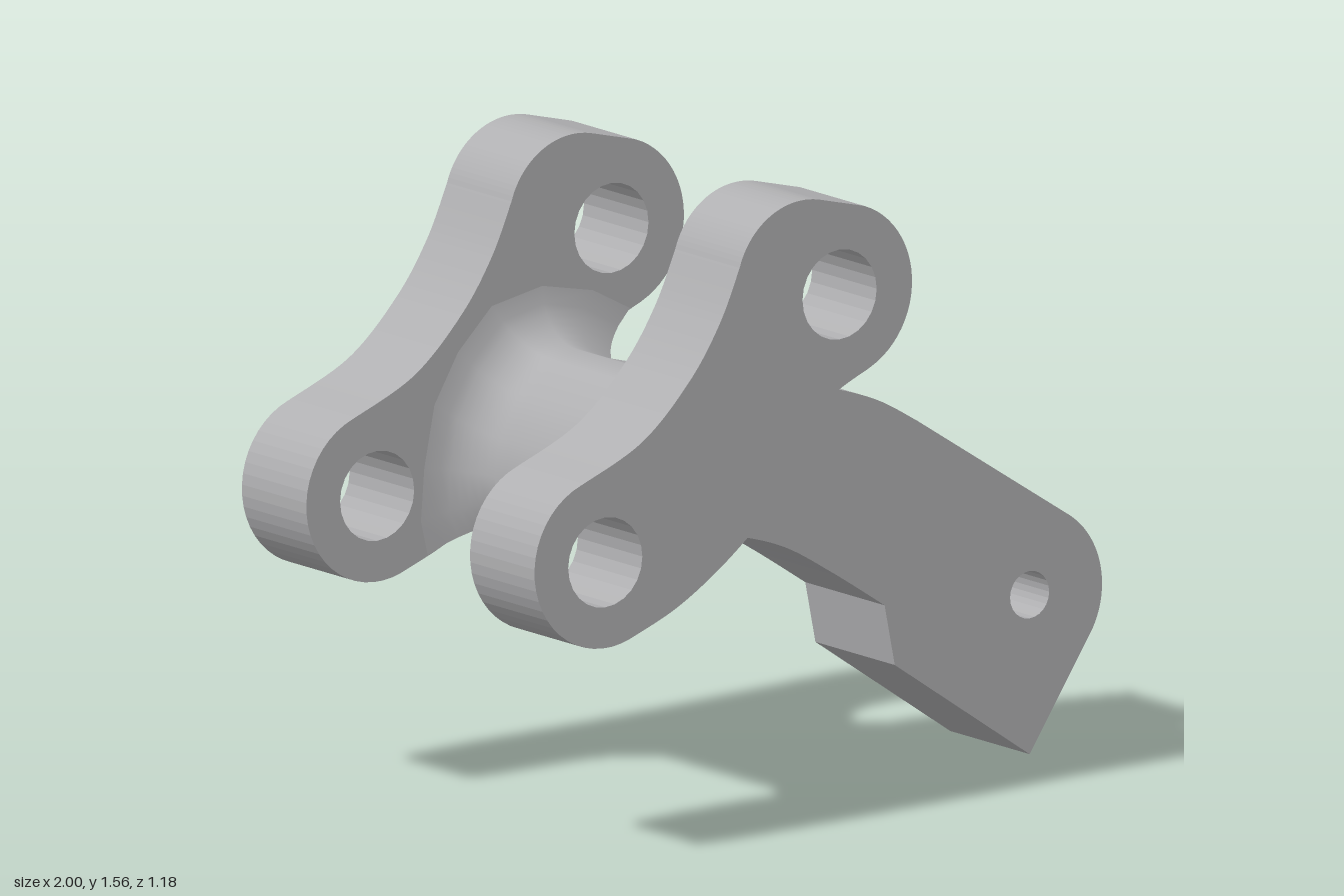
import * as THREE from 'three';
import { toCreasedNormals } from 'three/addons/utils/BufferGeometryUtils.js';

const rad = THREE.MathUtils.degToRad;
const pts = (list) => list.map(([x, y]) => new THREE.Vector2(x, y));

function addHole(shape, x, y, r) {
  const hole = new THREE.Path();
  hole.absarc(x, y, r, 0, Math.PI * 2, true);
  shape.holes.push(hole);
}

function extrude(shape, z0, z1) {
  const g = new THREE.ExtrudeGeometry(shape, { depth: z1 - z0, bevelEnabled: false, curveSegments: 12 });
  g.translate(0, 0, z0);
  return g;
}

// Curved link plate with a bored eye at each end
function plateShape() {
  const s = new THREE.Shape();
  s.absarc(-0.79, 0.75, 0.21, rad(110), rad(290), false);
  s.splineThru(pts([[-0.59, 0.605], [-0.48, 0.67], [-0.38, 0.745], [-0.3, 0.82], [-0.22, 0.915],
    [-0.16, 1.0], [-0.115, 1.07], [-0.004, 1.125]]));
  s.absarc(-0.095, 1.32, 0.215, rad(-65), rad(70), false);
  s.absarc(-0.2, 1.36, 0.2, rad(75), rad(163), false);
  s.splineThru(pts([[-0.45, 1.29], [-0.54, 1.16], [-0.68, 1.03], [-0.862, 0.947]]));
  addHole(s, -0.79, 0.75, 0.11);
  addHole(s, -0.095, 1.315, 0.11);
  return s;
}

// Bent central arm with a pointed heel and a small pin hole
function armShape() {
  const s = new THREE.Shape();
  s.moveTo(-0.42, 0.66);
  s.splineThru(pts([[-0.2, 0.662], [-0.08, 0.645], [0.06, 0.6], [0.2, 0.52], [0.355, 0.42]]));
  s.lineTo(0.385, 0.27);
  s.lineTo(0.785, 0);
  s.absarc(0.785, 0.39, 0.215, rad(-34), rad(57), false);
  s.lineTo(0.45, 0.86);
  s.splineThru(pts([[0.34, 0.922], [0.22, 0.965], [0.1, 0.99], [0, 0.998], [-0.16, 1.0]]));
  s.lineTo(-0.4, 0.88);
  addHole(s, 0.785, 0.39, 0.058);
  return s;
}

// Bridge section: [x, y, x at plate, y at plate, scoop x, scoop y]
const SECTION = [
  [-0.48, 0.66, -0.64, 0.585, 0.1, 0],
  [-0.46, 0.675, -0.48, 0.67, 0.09, -0.01],
  [-0.38, 0.745, -0.38, 0.745, 0.07, -0.06],
  [-0.3, 0.82, -0.3, 0.82, 0.07, -0.07],
  [-0.22, 0.915, -0.22, 0.915, 0.075, -0.05],
  [-0.162, 0.995, -0.16, 1.0, 0.1, 0],
  [-0.16, 0.998, -0.118, 1.068, 0.1, 0],
  [-0.16, 1.0, -0.04, 1.112, 0.1, 0],
  [-0.23, 1.045, -0.15, 1.17, 0, 0],
  [-0.3, 1.07, -0.3, 1.2, 0, 0],
  [-0.37, 1.05, -0.45, 1.17, 0, 0],
  [-0.45, 0.97, -0.55, 1.07, 0, 0],
  [-0.505, 0.87, -0.62, 0.95, 0, 0],
  [-0.52, 0.78, -0.65, 0.8, 0, 0],
  [-0.515, 0.71, -0.66, 0.67, 0, 0],
];

// Loft of the section along z, flaring into the plates and scooped beside the arm
function bridgeGeometry() {
  const half = [0.155, 0.162, 0.172, 0.185, 0.2, 0.222, 0.245, 0.265, 0.285, 0.3, 0.313, 0.323, 0.33];
  const zs = [...half.map((z) => -z).reverse(), ...half];
  const fillet = (u) => 1 - Math.sqrt(1 - THREE.MathUtils.clamp(u, 0, 1) ** 2);
  const n = SECTION.length;
  const pos = [];
  const idx = [];
  zs.forEach((z, k) => {
    const grow = fillet((Math.abs(z) - 0.2) / 0.13);
    const scoop = fillet((0.245 - Math.abs(z)) / 0.085);
    SECTION.forEach(([x, y, gx, gy, sx, sy], i) => {
      pos.push(x + (gx - x) * grow + sx * scoop, y + (gy - y) * grow + sy * scoop, z);
      if (k === zs.length - 1) return;
      const j = (i + 1) % n;
      const a = k * n + i, b = k * n + j;
      idx.push(a, b, b + n, a, b + n, a + n);
    });
  });
  const g = new THREE.BufferGeometry();
  g.setAttribute('position', new THREE.Float32BufferAttribute(pos, 3));
  g.setIndex(idx);
  return toCreasedNormals(g, rad(40));
}

export function createModel() {
  const metal = new THREE.MeshStandardMaterial({ color: 0xb0b0b2 });
  metal.name = 'grey metal';
  const model = new THREE.Group();
  model.name = 'forkedRockerArm';
  const add = (name, geometry) => {
    const mesh = new THREE.Mesh(geometry, metal);
    mesh.name = name;
    model.add(mesh);
  };
  add('frontPlate', extrude(plateShape(), 0.33, 0.59));
  add('backPlate', extrude(plateShape(), -0.59, -0.33));
  add('arm', extrude(armShape(), -0.16, 0.16));
  add('bridge', bridgeGeometry());
  return model;
}
